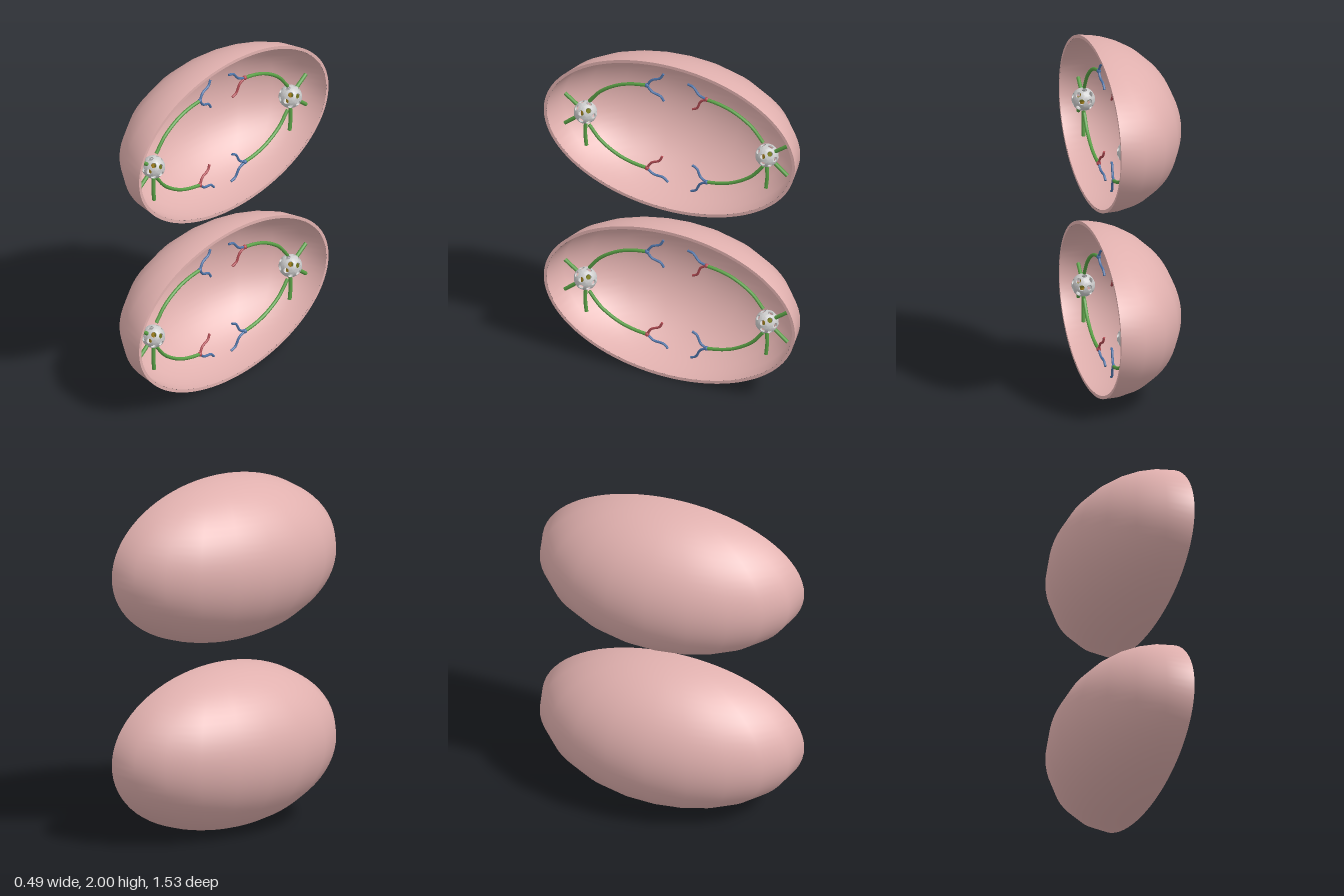
import * as THREE from 'three';
import { toCreasedNormals } from 'three/addons/utils/BufferGeometryUtils.js';

const mat = (color) => new THREE.MeshStandardMaterial({ color, roughness: 0.8 });
const PINK = mat(0xe0b0ae), GREEN = mat(0x5aa046), BLUE = mat(0x4f74a8);
const RED = mat(0xb24c54), GOLD = mat(0xa8841f), OLIVE = mat(0x75781f), GREY = mat(0xcccccc);

const CUT = 0.24;                    // x of the open cut face
const PLANE = 0.15;                  // x of the plane holding the inner parts
const OUTER = [0.485, 0.467, 0.765]; // half axes of the shell
const INNER = [0.462, 0.449, 0.747];
const BALL_R = 0.065;

function add(parent, name, geometry, material) {
  const mesh = new THREE.Mesh(geometry, material);
  mesh.name = name;
  parent.add(mesh);
  return mesh;
}

// Point from side-view coordinates (z, y relative to the cell centre)
const pt = ([z, y], dx = 0) => new THREE.Vector3(PLANE + dx, y, z);

function tube(parent, name, points, radius, material) {
  const path = new THREE.CatmullRomCurve3(points);
  add(parent, name, new THREE.TubeGeometry(path, 20, radius, 8), material);
  // closed ends
  for (const t of [0, 1]) {
    const dir = path.getTangent(t).multiplyScalar(t ? 1 : -1);
    const cap = add(parent, name + 'End', new THREE.CircleGeometry(radius, 8), material);
    cap.position.copy(path.getPoint(t));
    cap.quaternion.setFromUnitVectors(new THREE.Vector3(0, 0, 1), dir);
  }
}

// Half ellipsoid bulging to -x, optionally facing inward
function halfShell([rx, ry, rz], inward) {
  const g = new THREE.SphereGeometry(1, 10, 36, -Math.PI / 2, Math.PI);
  g.scale(rx, ry, rz);
  if (inward) {
    g.setIndex(Array.from(g.index.array).reverse());
    const n = g.attributes.normal;
    for (let i = 0; i < n.count; i++) n.setXYZ(i, -n.getX(i), -n.getY(i), -n.getZ(i));
  }
  return g.translate(CUT, 0, 0);
}

function rim() {
  const shape = new THREE.Shape();
  shape.absellipse(0, 0, OUTER[2], OUTER[1], 0, Math.PI * 2);
  const hole = new THREE.Path();
  hole.absellipse(0, 0, INNER[2], INNER[1], 0, Math.PI * 2);
  shape.holes.push(hole);
  return new THREE.ShapeGeometry(shape, 72).rotateY(Math.PI / 2).translate(CUT, 0, 0);
}

// Ball with a round pore in each of twenty triangular fields
function poredBall(radius, thickness) {
  const ico = new THREE.IcosahedronGeometry(1, 0).attributes.position;
  const N = 18, pos = [], idx = [];
  // each ring: [blend from pore edge to field edge, distance from centre]
  const rings = [[1, radius], [0.5, radius], [0, radius],
    [0, radius - thickness], [0.5, radius - thickness], [1, radius - thickness]];
  for (let f = 0; f < ico.count; f += 3) {
    const c = [0, 1, 2].map((k) => new THREE.Vector3().fromBufferAttribute(ico, f + k));
    const mid = c[0].clone().add(c[1]).add(c[2]).divideScalar(3);
    const base = pos.length / 3;
    for (const [blend, r] of rings) {
      for (let i = 0; i < N; i++) {
        const k = Math.floor(i * 3 / N), s = (i * 3 / N) % 1;
        const edge = c[k].clone().lerp(c[(k + 1) % 3], s);
        const pore = edge.clone().sub(mid).setLength(0.2).add(mid);
        pos.push(...pore.lerp(edge, blend).setLength(r).toArray());
      }
    }
    for (let j = 0; j < rings.length - 1; j++) {
      for (let i = 0; i < N; i++) {
        const a = base + j * N + i, b = base + j * N + (i + 1) % N;
        idx.push(a, b, b + N, a, b + N, a + N);
      }
    }
  }
  const g = new THREE.BufferGeometry();
  g.setAttribute('position', new THREE.Float32BufferAttribute(pos, 3));
  g.setIndex(idx);
  return toCreasedNormals(g, 0.9);
}

// Pored ball with a pair of crossed rods inside
function makePole(z, y) {
  const pole = new THREE.Group();
  pole.name = 'pole';
  add(pole, 'poredBall', poredBall(BALL_R, 0.008), GREY);
  const rod = new THREE.CylinderGeometry(0.015, 0.015, 0.062, 9);
  add(pole, 'uprightRod', rod, GOLD).position.set(0, 0, 0.012);
  const cross = add(pole, 'crossRod', rod, OLIVE);
  cross.rotation.z = Math.PI / 2;
  cross.position.set(0.01, 0.006, -0.016);
  pole.position.copy(pt([z, y]));
  return pole;
}

// Two wavy arms spreading from a small joint
function makeChromosome(joint, jointColor, arms) {
  const group = new THREE.Group();
  group.name = 'chromosome';
  add(group, 'joint', new THREE.SphereGeometry(0.013, 12, 8), jointColor).position.copy(pt(joint));
  for (const [tip, color] of arms) {
    const a = pt(joint), b = pt(tip, -0.01);
    const side = new THREE.Vector3(0, a.z - b.z, b.y - a.y).setLength(0.009);
    if (tip[1] < joint[1]) side.negate();
    const p1 = a.clone().lerp(b, 0.35).add(side);
    const p2 = a.clone().lerp(b, 0.75).sub(side);
    tube(group, 'arm', [a, p1, p2, b], 0.007, color);
  }
  return group;
}

function makeCell() {
  const cell = new THREE.Group();
  add(cell, 'outerShell', halfShell(OUTER, false), PINK);
  add(cell, 'innerShell', halfShell(INNER, true), PINK);
  add(cell, 'cutRim', rim(), PINK);

  for (const s of [1, -1]) {
    const z = s * 0.553, y = -0.015;
    cell.add(makePole(z, y));
    // short fibres starting at the ball surface
    for (const [tz, ty] of [[0.678, 0.075], [0.678, -0.115], [0.547, -0.225]]) {
      const dir = new THREE.Vector2(s * tz - z, ty - y).setLength(BALL_R * 0.95);
      const start = [z + dir.x, y + dir.y];
      const bend = [(start[0] + s * tz) / 2 + (ty < -0.2 ? s * 0.005 : 0), (start[1] + ty) / 2];
      tube(cell, 'shortFibre', [start, bend, [s * tz, ty]].map((p) => pt(p)), 0.011, GREEN);
    }
    // long curved fibres to the chromosomes
    for (const v of [1, -1]) {
      const arc = [[0.53, 0.06], [0.46, 0.142], [0.35, 0.21], [0.26, 0.238], [0.18, 0.25]];
      const shift = v > 0 ? 0 : -0.03;
      tube(cell, 'longFibre', arc.map(([az, ay]) => pt([s * az, v * ay + shift])), 0.01, GREEN);
    }
  }

  cell.add(makeChromosome([0.178, 0.25], BLUE, [[[0.083, 0.34], BLUE], [[0.08, 0.168], BLUE]]));
  cell.add(makeChromosome([-0.185, 0.25], RED, [[[-0.065, 0.312], BLUE], [[-0.095, 0.16], RED]]));
  cell.add(makeChromosome([0.178, -0.28], RED, [[[0.09, -0.19], RED], [[0.055, -0.345], BLUE]]));
  cell.add(makeChromosome([-0.185, -0.28], BLUE, [[[-0.093, -0.2], BLUE], [[-0.085, -0.367], BLUE]]));
  return cell;
}

export function createModel() {
  const model = new THREE.Group();
  model.name = 'dividingCells';
  [['lowerCell', 0.467], ['upperCell', 1.533]].forEach(([name, y]) => {
    const cell = makeCell();
    cell.name = name;
    cell.position.y = y;
    model.add(cell);
  });
  return model;
}
